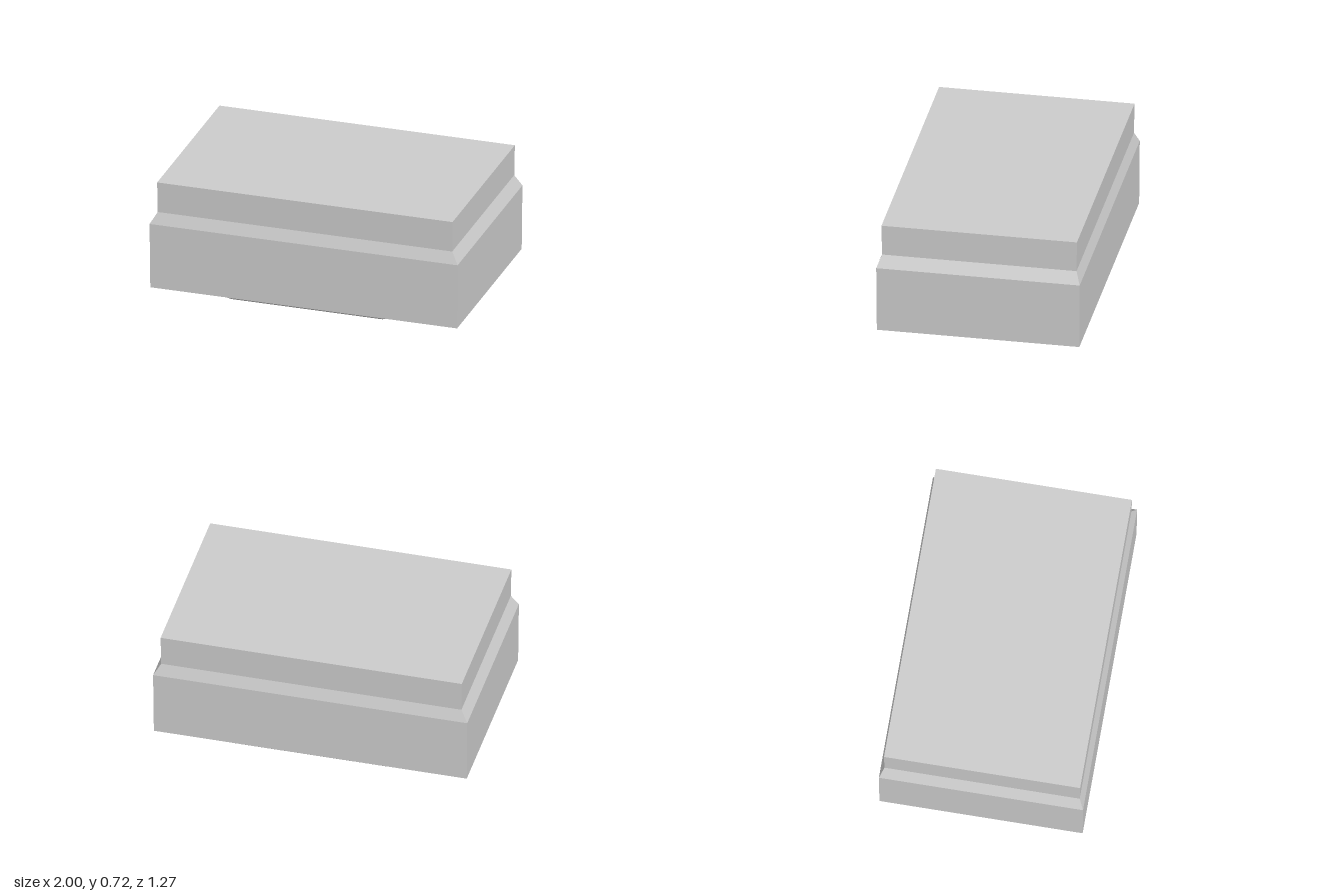
import * as THREE from 'three';

// Joins rectangular cross-sections [y, halfWidth, halfDepth] from bottom to top.
function loft(name, rings, material, capBottom, capTop) {
  const pos = [];
  const corners = ([y, w, d]) => [[-w, y, d], [w, y, d], [w, y, -d], [-w, y, -d]];
  const quad = (a, b, c, d) => pos.push(...a, ...b, ...c, ...a, ...c, ...d);
  for (let r = 0; r < rings.length - 1; r++) {
    const lo = corners(rings[r]), hi = corners(rings[r + 1]);
    for (let i = 0; i < 4; i++) {
      const j = (i + 1) % 4;
      quad(lo[i], lo[j], hi[j], hi[i]);
    }
  }
  if (capBottom) quad(...corners(rings[0]).reverse());
  if (capTop) quad(...corners(rings[rings.length - 1]));
  const geometry = new THREE.BufferGeometry();
  geometry.setAttribute('position', new THREE.Float32BufferAttribute(pos, 3));
  geometry.computeVertexNormals();
  const mesh = new THREE.Mesh(geometry, material);
  mesh.name = name;
  return mesh;
}

export function createModel() {
  const group = new THREE.Group();
  group.name = 'box';
  const grey = new THREE.MeshStandardMaterial({ color: 0xcccccc, flatShading: true });

  // Wide lower body
  group.add(loft('lowerBody', [[0.018, 0.994, 0.634], [0.445, 0.998, 0.637]], grey, true, false));

  // Sloping shoulder up to the narrower top
  group.add(loft('shoulder', [[0.445, 0.998, 0.637], [0.52, 0.954, 0.609]], grey, false, false));

  // Narrower upper body with flat top
  group.add(loft('upperBody', [[0.52, 0.954, 0.609], [0.72, 0.957, 0.612]], grey, false, true));

  // Shallow raised panel under the base
  const panel = loft('basePanel', [[0.003, 0.49, 0.615], [0.018, 0.515, 0.632]], grey, true, false);
  panel.position.x = 0.015;
  group.add(panel);

  return group;
}
